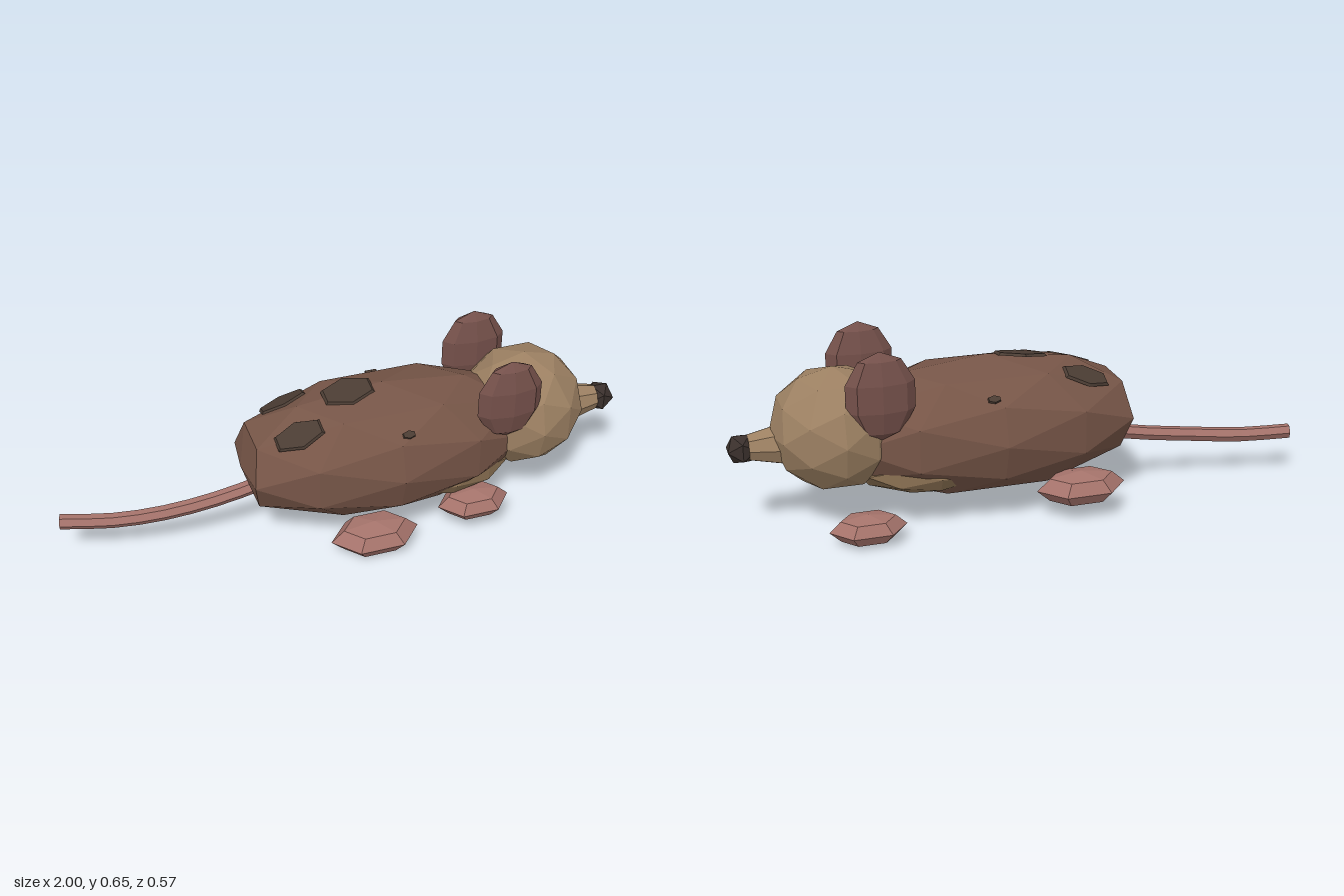
import * as THREE from 'three';

export function createModel() {
  const model = new THREE.Group();
  const paint = (name, color) => new THREE.MeshStandardMaterial({ name, color, flatShading: true });
  const brown = paint('brown fur', 0x765547);
  const tan = paint('tan fur', 0x9c8062);
  const belly = paint('belly fur', 0x8a7052);
  const earSkin = paint('ear skin', 0x74504a);
  const pink = paint('pink skin', 0xa5736b);
  const dark = paint('dark fur', 0x4a3c33);
  const black = paint('nose skin', 0x3a302c);

  function add(name, geometry, material, pos = [0, 0, 0], scale = [1, 1, 1]) {
    const mesh = new THREE.Mesh(geometry, material);
    mesh.name = name;
    mesh.position.set(...pos);
    mesh.scale.set(...scale);
    model.add(mesh);
    return mesh;
  }

  // Body: faceted ellipsoid with a blunt rump
  const bodyGeo = new THREE.IcosahedronGeometry(1, 1);
  const p = bodyGeo.attributes.position;
  for (let i = 0; i < p.count; i++) p.setX(i, Math.max(-0.5, Math.min(0.5, p.getX(i) * 0.57)));
  bodyGeo.computeVertexNormals();
  const body = add('body', bodyGeo, brown, [0.12, 0.31, 0], [1, 0.24, 0.262]);
  add('belly', new THREE.IcosahedronGeometry(1, 1), belly, [0.33, 0.2, 0], [0.27, 0.095, 0.205]);

  // Head, snout and nose
  add('head', new THREE.IcosahedronGeometry(1, 1), tan, [0.642, 0.35, 0], [0.22, 0.212, 0.215]);
  const snout = add('snout', new THREE.CylinderGeometry(0.045, 0.085, 0.17, 8), tan, [0.845, 0.312, 0]);
  snout.rotation.z = -Math.PI / 2;
  add('nose', new THREE.IcosahedronGeometry(0.055, 0), black, [0.951, 0.31, 0]);

  // Ears
  for (const side of [1, -1]) {
    add(side > 0 ? 'earRight' : 'earLeft', new THREE.SphereGeometry(1, 8, 5), earSkin,
      [0.52, 0.502, side * 0.167], [0.12, 0.15, 0.046]);
  }

  // Feet in mid-stride
  const feet = [
    ['frontFootRight', 0.4, 0.11, 0.187, 0.13, 0.05, 0.089],
    ['frontFootLeft', 0.58, 0.056, -0.187, 0.13, 0.05, 0.089],
    ['backFootRight', 0.035, 0.06, 0.195, 0.157, 0.057, 0.102],
    ['backFootLeft', -0.155, 0.11, -0.195, 0.157, 0.057, 0.102],
  ];
  for (const [name, x, y, z, rx, ry, rz] of feet) {
    add(name, new THREE.SphereGeometry(1, 6, 4), pink, [x, y, z], [rx, ry, rz]);
  }

  // Tail
  const path = new THREE.CatmullRomCurve3([
    [-0.3, 0.225, 0], [-0.45, 0.195, 0], [-0.64, 0.17, -0.01], [-0.82, 0.157, -0.04], [-0.995, 0.165, -0.08],
  ].map(a => new THREE.Vector3(...a)));
  add('tail', new THREE.TubeGeometry(path, 8, 0.026, 6), pink);
  const tip = add('tailTip', new THREE.CircleGeometry(0.026, 6), pink, [-0.995, 0.165, -0.08]);
  tip.lookAt(tip.position.clone().add(path.getTangent(1)));

  // Dark fur patches laid on the back
  body.updateMatrixWorld(true);
  const ray = new THREE.Raycaster();
  const up = new THREE.Vector3(0, 1, 0);
  const patches = [
    [0, 0, 0.1, 0.065], [-0.2, 0.1, 0.095, 0.055], [-0.2, -0.1, 0.095, 0.055],
    [0.15, 0.195, 0.025, 0.015], [0.15, -0.195, 0.025, 0.015],
  ];
  for (const [x, z, rx, rz] of patches) {
    ray.set(new THREE.Vector3(x, 2, z), new THREE.Vector3(0, -1, 0));
    const hit = ray.intersectObject(body)[0];
    const normal = hit.face.normal.clone().divide(body.scale).normalize();
    const patch = add('furPatch', new THREE.CylinderGeometry(0.9, 1, 0.009, 6), dark,
      hit.point.addScaledVector(normal, 0.003).toArray(), [rx, 1, rz]);
    patch.quaternion.setFromUnitVectors(up, normal);
  }
  return model;
}
